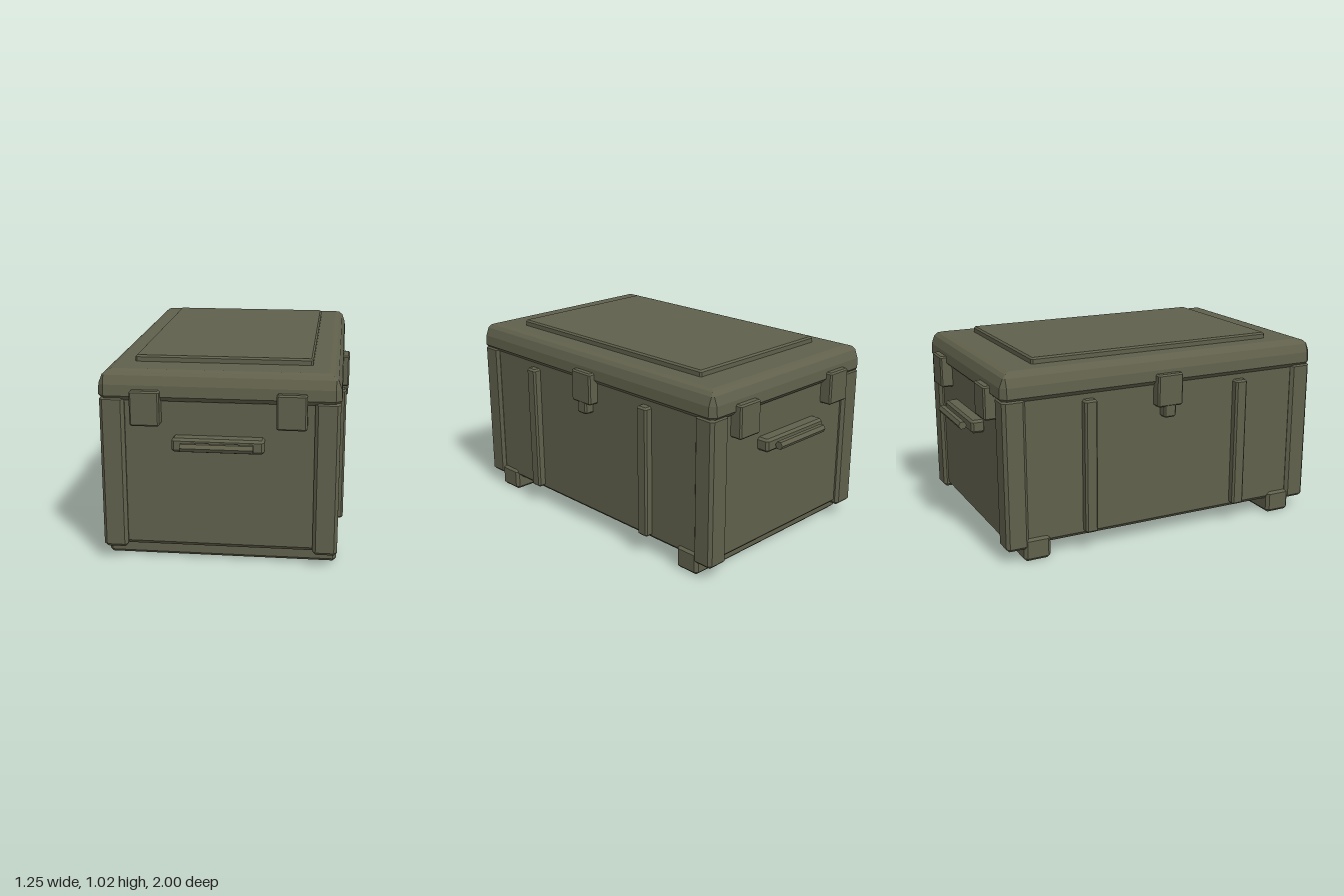
import * as THREE from 'three';

// Solid made of chamfered rectangles stacked in y; rings are [y, inset].
function ringSolid(hx, hz, corner, rings) {
  const pos = [], idx = [], n = 8;
  for (const [y, inset] of rings) {
    const x = hx - inset, z = hz - inset, c = Math.max(corner - inset, 0.002);
    pos.push(
      x - c, y, z, x, y, z - c, x, y, -z + c, x - c, y, -z,
      -x + c, y, -z, -x, y, -z + c, -x, y, z - c, -x + c, y, z,
    );
  }
  for (let r = 0; r < rings.length - 1; r++) {
    for (let i = 0; i < n; i++) {
      const a = r * n + i, b = r * n + (i + 1) % n;
      idx.push(a, b, b + n, a, b + n, a + n);
    }
  }
  const t = (rings.length - 1) * n;
  for (let i = 1; i < n - 1; i++) idx.push(0, i + 1, i, t, t + i, t + i + 1);
  const g = new THREE.BufferGeometry();
  g.setAttribute('position', new THREE.Float32BufferAttribute(pos, 3));
  g.setIndex(idx);
  const flat = g.toNonIndexed();
  flat.computeVertexNormals();
  return flat;
}

export function createModel() {
  const olive = new THREE.MeshStandardMaterial({ color: 0x60604c });
  olive.name = 'olive drab';
  const crate = new THREE.Group();
  crate.name = 'crate';

  const add = (name, geometry) => {
    const mesh = new THREE.Mesh(geometry, olive);
    mesh.name = name;
    crate.add(mesh);
    return mesh;
  };
  // Box with bevelled edges, given by its limits.
  const block = (name, x0, x1, y0, y1, z0, z1, b = 0.01) => {
    const g = ringSolid((x1 - x0) / 2, (z1 - z0) / 2, b,
      [[y0, b], [y0 + b, 0], [y1 - b, 0], [y1, b]]);
    g.translate((x0 + x1) / 2, 0, (z0 + z1) / 2);
    return add(name, g);
  };
  // Same box mirrored by signs sx and sz.
  const mirrored = (name, sx, sz, x0, x1, y0, y1, z0, z1, b) => block(name,
    Math.min(sx * x0, sx * x1), Math.max(sx * x0, sx * x1), y0, y1,
    Math.min(sz * z0, sz * z1), Math.max(sz * z0, sz * z1), b);

  // Main body, rounded lid and raised lid panel
  block('body', -0.57, 0.57, 0.08, 0.87, -0.88, 0.88, 0.022);
  add('lid', ringSolid(0.593, 0.912, 0.03, [
    [0.84, 0.025], [0.865, 0], [0.92, 0.003], [0.965, 0.02], [0.982, 0.038], [0.99, 0.062],
  ]));
  block('lidPanel', -0.445, 0.445, 0.98, 1.022, -0.695, 0.695, 0.009);

  for (const s of [1, -1]) {
    // Skid under each end
    mirrored('skid', 1, s, -0.583, 0.583, 0, 0.125, 0.665, 0.81, 0.016);

    // Corner posts and end clasps
    for (const sx of [1, -1]) {
      mirrored('cornerPost', sx, s, 0.465, 0.588, 0.07, 0.86, 0.785, 0.905, 0.016);
      mirrored('endClasp', sx, s, 0.283, 0.43, 0.725, 0.9, 0.87, 0.945, 0.008);
      mirrored('sideRib', sx, s, 0.55, 0.612, 0.105, 0.815, 0.41, 0.48, 0.01);
    }

    // Side latch with its catch
    mirrored('sideLatch', s, 1, 0.55, 0.625, 0.73, 0.902, -0.073, 0.073, 0.008);
    mirrored('latchCatch', s, 1, 0.55, 0.622, 0.67, 0.75, -0.035, 0.035, 0.008);

    // End handle: mounting plate and six-sided grip
    mirrored('handlePlate', 1, s, -0.226, 0.226, 0.6, 0.67, 0.87, 0.946, 0.012);
    const grip = new THREE.CylinderGeometry(0.022, 0.022, 0.354, 6).toNonIndexed();
    grip.computeVertexNormals();
    grip.rotateZ(Math.PI / 2);
    add('handleGrip', grip).position.set(0, 0.638, s * 0.978);
  }
  return crate;
}
